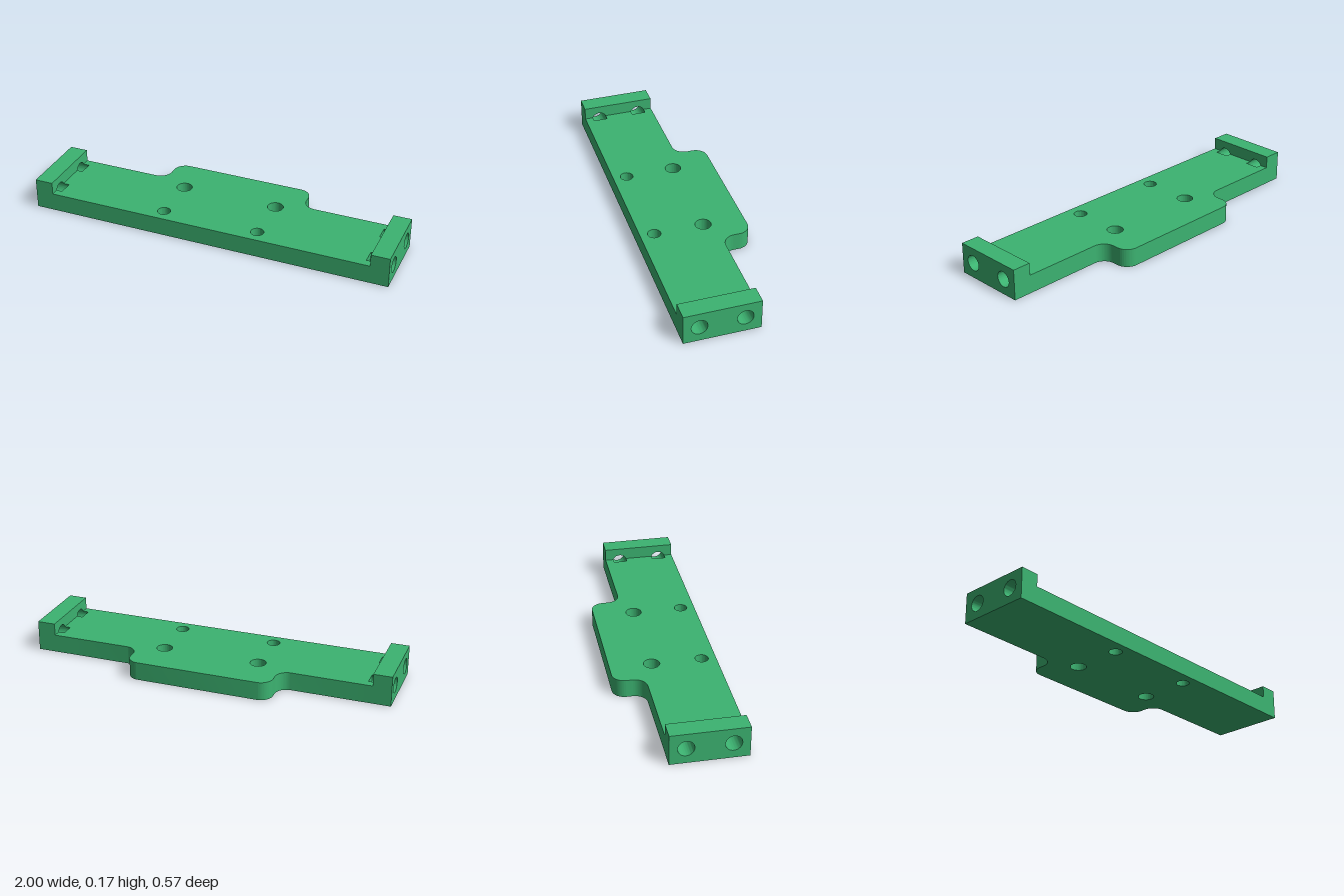
import * as THREE from 'three';
import { toCreasedNormals } from 'three/addons/utils/BufferGeometryUtils.js';

const FRONT = 0.283, BACK = -0.117, TAB_BACK = -0.283; // z extents
const PLATE_H = 0.1, BLOCK_H = 0.167;
const POCKET_X = 0.867, BLOCK_X = 0.9, END_X = 1;
const BORE = { y: 0.084, r: 0.042, z: [-0.033, 0.2] };

const circle = (x, y, r) => new THREE.Path().absarc(x, y, r, 0, Math.PI * 2, true);

function extrude(shape, depth) {
  return new THREE.ExtrudeGeometry(shape, { depth, bevelEnabled: false, curveSegments: 24 });
}

// Plate outline drawn in (x, -z), with the rounded rear tab and four screw holes
function plateShape() {
  const r = 0.067, w = 0.4, b = -BACK, t = -TAB_BACK, H = Math.PI / 2;
  const s = new THREE.Shape();
  s.moveTo(-POCKET_X, -FRONT);
  s.lineTo(POCKET_X, -FRONT);
  s.lineTo(POCKET_X, b);
  s.absarc(w + r, b + r, r, -H, -2 * H, true);
  s.absarc(w - r, t - r, r, 0, H, false);
  s.absarc(-w + r, t - r, r, H, 2 * H, false);
  s.absarc(-w - r, b + r, r, 0, -H, true);
  s.lineTo(-POCKET_X, b);
  s.closePath();
  for (const x of [-0.267, 0.267]) {
    s.holes.push(circle(x, 0.06, 0.043), circle(x, -0.207, 0.035));
  }
  return s;
}

// Raised end block section in (-z, y) with two round bores
function blockShape() {
  const s = new THREE.Shape();
  s.moveTo(-FRONT, 0);
  s.lineTo(-BACK, 0);
  s.lineTo(-BACK, BLOCK_H);
  s.lineTo(-FRONT, BLOCK_H);
  s.closePath();
  for (const z of BORE.z) s.holes.push(circle(-z, BORE.y, BORE.r));
  return s;
}

// Plate section beside the block, where the bores break through the top
function pocketShape() {
  const a = Math.asin((PLATE_H - BORE.y) / BORE.r);
  const s = new THREE.Shape();
  s.moveTo(-FRONT, 0);
  s.lineTo(-BACK, 0);
  s.lineTo(-BACK, PLATE_H);
  for (const z of BORE.z) s.absarc(-z, BORE.y, BORE.r, a, Math.PI - a, true);
  s.lineTo(-FRONT, PLATE_H);
  s.closePath();
  return s;
}

export function createModel() {
  const group = new THREE.Group();
  group.name = 'mountingBracket';
  const material = new THREE.MeshStandardMaterial({ color: 0x3cb371 });
  const add = (geometry, name) => {
    const mesh = new THREE.Mesh(toCreasedNormals(geometry, 0.6), material);
    mesh.name = name;
    group.add(mesh);
  };

  add(extrude(plateShape(), PLATE_H).rotateX(-Math.PI / 2), 'basePlate');

  // Matching ends
  for (const [side, label] of [[1, 'left'], [-1, 'right']]) {
    const addEnd = (shape, x0, x1, name) => {
      const start = side > 0 ? x0 : -x1;
      add(extrude(shape, x1 - x0).rotateY(Math.PI / 2).translate(start, 0, 0), label + name);
    };
    addEnd(pocketShape(), POCKET_X, BLOCK_X, 'BorePockets');
    addEnd(blockShape(), BLOCK_X, END_X, 'EndBlock');
  }
  return group;
}
